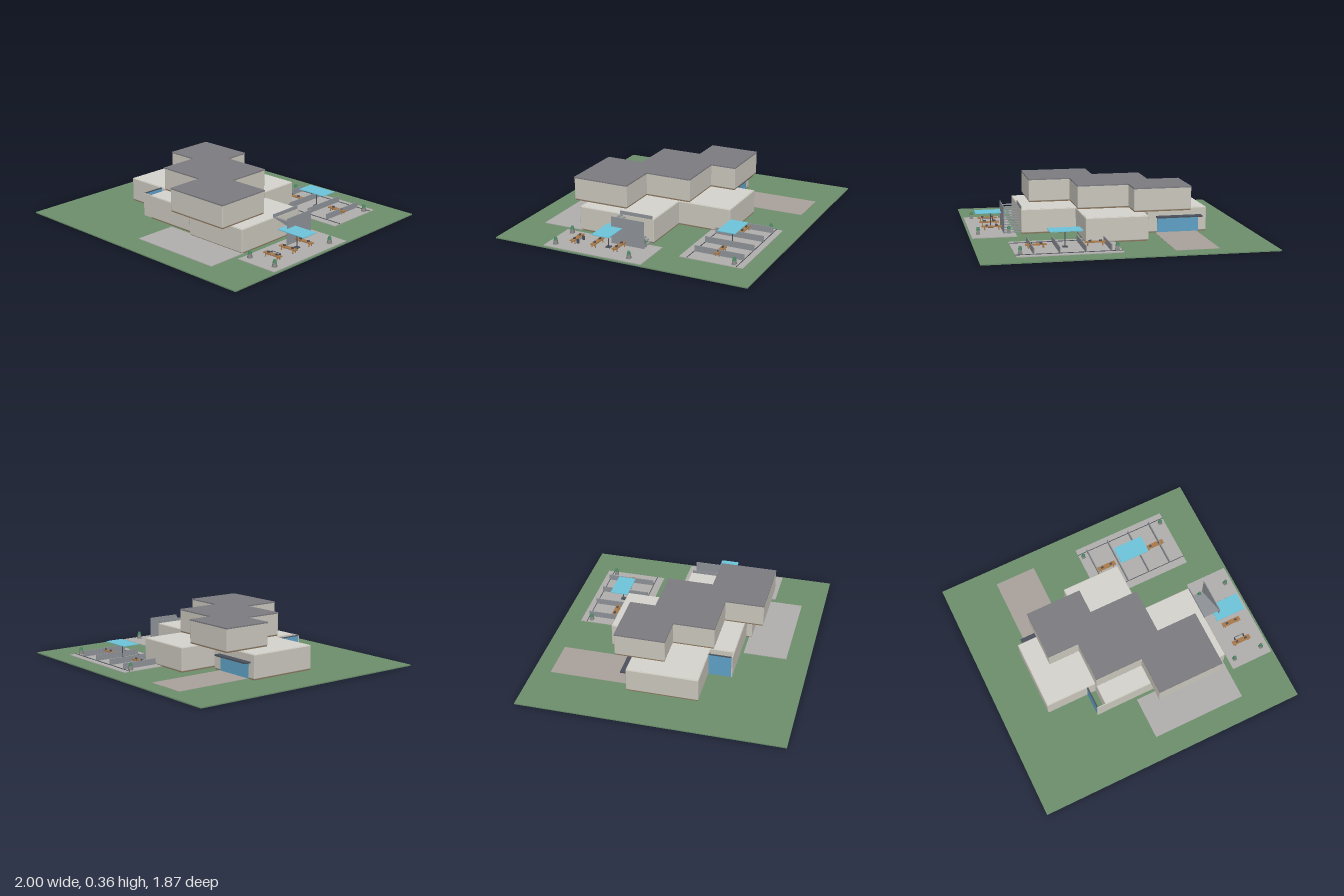
import * as THREE from 'three';
import { RoundedBoxGeometry } from 'three/addons/geometries/RoundedBoxGeometry.js';

const mat = (color, side = THREE.FrontSide) => new THREE.MeshStandardMaterial({ color, side });
const M = {
  grass: mat(0x6b8e6b), paving: mat(0xb0aeab), drive: mat(0xa8a19a), wall: mat(0xc8c5bb),
  lowRoof: mat(0xd3d2cc), topRoof: mat(0x7a7a80), trim: mat(0x8a7358), metal: mat(0x4b505a),
  panel: mat(0x8d9196), glass: mat(0x5f9fc4), shade: mat(0x6cc3d8), wood: mat(0xa87848),
  plant: mat(0x4f8a66), pot: mat(0x8a8d88),
};

// Box given by its limits on each axis
function box(parent, name, material, [x0, x1], [y0, y1], [z0, z1], radius = 0) {
  const s = [x1 - x0, y1 - y0, z1 - z0];
  const geo = radius ? new RoundedBoxGeometry(...s, 2, radius) : new THREE.BoxGeometry(...s);
  const mesh = new THREE.Mesh(geo, material);
  mesh.name = name;
  mesh.position.set((x0 + x1) / 2, (y0 + y1) / 2, (z0 + z1) / 2);
  parent.add(mesh);
  return mesh;
}

function group(parent, name, x = 0, y = 0, z = 0) {
  const g = new THREE.Group();
  g.name = name;
  g.position.set(x, y, z);
  parent.add(g);
  return g;
}

// One storey module: floor trim, walls and roof
function storeyBlock(parent, name, x, z, y0, y1, roof) {
  const g = group(parent, name);
  const inset = ([a, b], d) => [a + d, b - d];
  box(g, 'floorTrim', M.trim, inset(x, 0.004), [y0 - 0.007, y0 + 0.004], inset(z, 0.004));
  box(g, 'walls', M.wall, x, [y0, y1], z, 0.006);
  const upper = roof === M.topRoof;
  box(g, 'roof', roof, inset(x, upper ? -0.001 : 0.006), [y1 - 0.004, y1 + (upper ? 0.005 : 0.001)],
    inset(z, upper ? -0.001 : 0.006));
}

// Bench with two trestle legs and two cushions
function bench(parent, x, z, width) {
  const g = group(parent, 'bench', x, 0.013, z);
  box(g, 'seat', M.wood, [-width / 2, width / 2], [0.022, 0.029], [-0.017, 0.017]);
  for (const s of [-1, 1]) {
    for (const t of [-1, 1]) {
      const leg = box(g, 'leg', M.wood, [s * width * 0.36 - 0.003, s * width * 0.36 + 0.003], [0, 0.024],
        [t * 0.012 - 0.003, t * 0.012 + 0.003]);
      leg.rotation.x = -t * 0.25;
    }
    const c = s * width * 0.25;
    box(g, 'cushion', M.metal, [c - 0.009, c + 0.009], [0.029, 0.039], [-0.006, 0.006]);
  }
  return g;
}

// Flat sun shade on a post
function sunShade(parent, x, z) {
  const g = group(parent, 'sunShade', x, 0.013, z);
  box(g, 'canopy', M.shade, [-0.113, 0.113], [0.116, 0.121], [-0.066, 0.066]);
  const post = new THREE.Mesh(new THREE.CylinderGeometry(0.0035, 0.0035, 0.116, 8), M.metal);
  post.name = 'post';
  post.position.y = 0.058;
  g.add(post);
  box(g, 'foot', M.metal, [-0.018, 0.018], [0, 0.005], [-0.018, 0.018]);
}

// Tapered square pot with a small shrub
function planter(parent, x, z) {
  const g = group(parent, 'planter', x, 0.013, z);
  const pot = new THREE.Mesh(new THREE.CylinderGeometry(0.013, 0.02, 0.03, 4), M.pot);
  pot.name = 'pot';
  pot.rotation.y = Math.PI / 4;
  pot.position.y = 0.015;
  const shrub = new THREE.Mesh(new THREE.CylinderGeometry(0.009, 0.014, 0.022, 8), M.plant);
  shrub.name = 'shrub';
  shrub.position.y = 0.041;
  g.add(pot, shrub);
}

export function createModel() {
  const model = new THREE.Group();
  model.name = 'houseWithGarden';

  // Ground and paving
  box(model, 'lawn', M.grass, [-1, 1], [0, 0.008], [-0.935, 0.935]);
  box(model, 'driveway', M.drive, [-0.61, -0.305], [0.004, 0.01], [-0.81, -0.23]);
  box(model, 'frontTerrace', M.paving, [-0.065, 0.63], [0.004, 0.013], [0.46, 0.77]);
  box(model, 'sidePatio', M.paving, [0.67, 0.985], [0.004, 0.013], [-0.18, 0.56]);
  box(model, 'backPatio', M.paving, [0.04, 0.755], [0.004, 0.013], [-0.8, -0.345]);

  // House: x limits and z limits of every storey block
  const lower = [
    ['rightWing', [-0.68, -0.25], [-0.24, 0.27]],
    ['middleWing', [-0.305, 0.16], [-0.2, 0.44]],
    ['leftWing', [0.135, 0.63], [-0.095, 0.48]],
    ['backWing', [-0.2, 0.24], [-0.485, 0]],
  ];
  const upper = [
    ['upperBackBlock', [-0.535, -0.125], [-0.36, 0]],
    ['upperMiddleBlock', [-0.305, 0.24], [-0.175, 0.295]],
    ['upperFrontBlock', [0.05, 0.54], [0.16, 0.573]],
  ];
  const house = group(model, 'house');
  for (const [n, x, z] of lower) storeyBlock(house, n, x, z, 0.015, 0.183, M.lowRoof);
  for (const [n, x, z] of upper) storeyBlock(house, n, x, z, 0.193, 0.352, M.topRoof);

  // Enclosed light court beside the middle wing
  box(house, 'courtFrontWall', M.wall, [-0.37, -0.3], [0.015, 0.183], [0.432, 0.44]);
  box(house, 'courtGlazing', M.glass, [-0.369, -0.362], [0.015, 0.18], [0.27, 0.433]);
  box(house, 'courtRail', M.metal, [-0.37, -0.361], [0.178, 0.184], [0.27, 0.433]);

  // Garage opening and canopy above the drive
  box(house, 'garageDoor', M.glass, [-0.62, -0.32], [0.012, 0.115], [-0.244, -0.238]);
  box(house, 'garageCanopy', M.metal, [-0.64, -0.31], [0.12, 0.13], [-0.29, -0.238]);

  // Outside stair rising towards the front
  const stair = group(model, 'outsideStair');
  const steps = 12;
  for (let i = 0; i < steps; i++) {
    const z = -0.08 + (i * 0.24) / steps, y = 0.022 + (i * 0.158) / (steps - 1);
    box(stair, 'tread', M.panel, [0.632, 0.748], [y - 0.004, y + 0.002], [z, z + 0.019]);
  }
  box(stair, 'outerScreen', M.panel, [0.747, 0.752], [0.013, 0.205], [-0.083, 0.165]);
  box(stair, 'innerScreen', M.panel, [0.624, 0.629], [0.18, 0.205], [-0.083, 0.165]);

  // Side patio furniture
  const side = group(model, 'sidePatioFurniture');
  for (const z of [0.068, 0.234, 0.392]) bench(side, 0.823, z, 0.14);
  box(side, 'benchBackRail', M.metal, [0.785, 0.86], [0.04, 0.043], [0.353, 0.356]);
  for (const x of [0.787, 0.858]) box(side, 'benchBackPost', M.metal, [x - 0.002, x + 0.002], [0.013, 0.043], [0.353, 0.375]);
  sunShade(side, 0.823, 0.147);
  for (const x of [0.715, 0.932]) for (const z of [-0.065, 0.495]) planter(side, x, z);

  // Back patio bays, furniture and planters
  const back = group(model, 'backPatioFurniture');
  for (const x of [0.115, 0.288, 0.461, 0.634]) {
    box(back, 'bayDivider', M.panel, [x - 0.003, x + 0.003], [0.013, 0.056], [-0.758, -0.4]);
  }
  box(back, 'rearEdgeRail', M.metal, [0.04, 0.755], [0.013, 0.017], [-0.756, -0.752]);
  box(back, 'frontEdgeRail', M.metal, [0.04, 0.755], [0.013, 0.017], [-0.403, -0.399]);
  for (const x of [0.192, 0.595]) bench(back, x, -0.572, 0.142);
  sunShade(back, 0.398, -0.574);
  for (const x of [0.072, 0.72]) planter(back, x, -0.725);

  return model;
}
